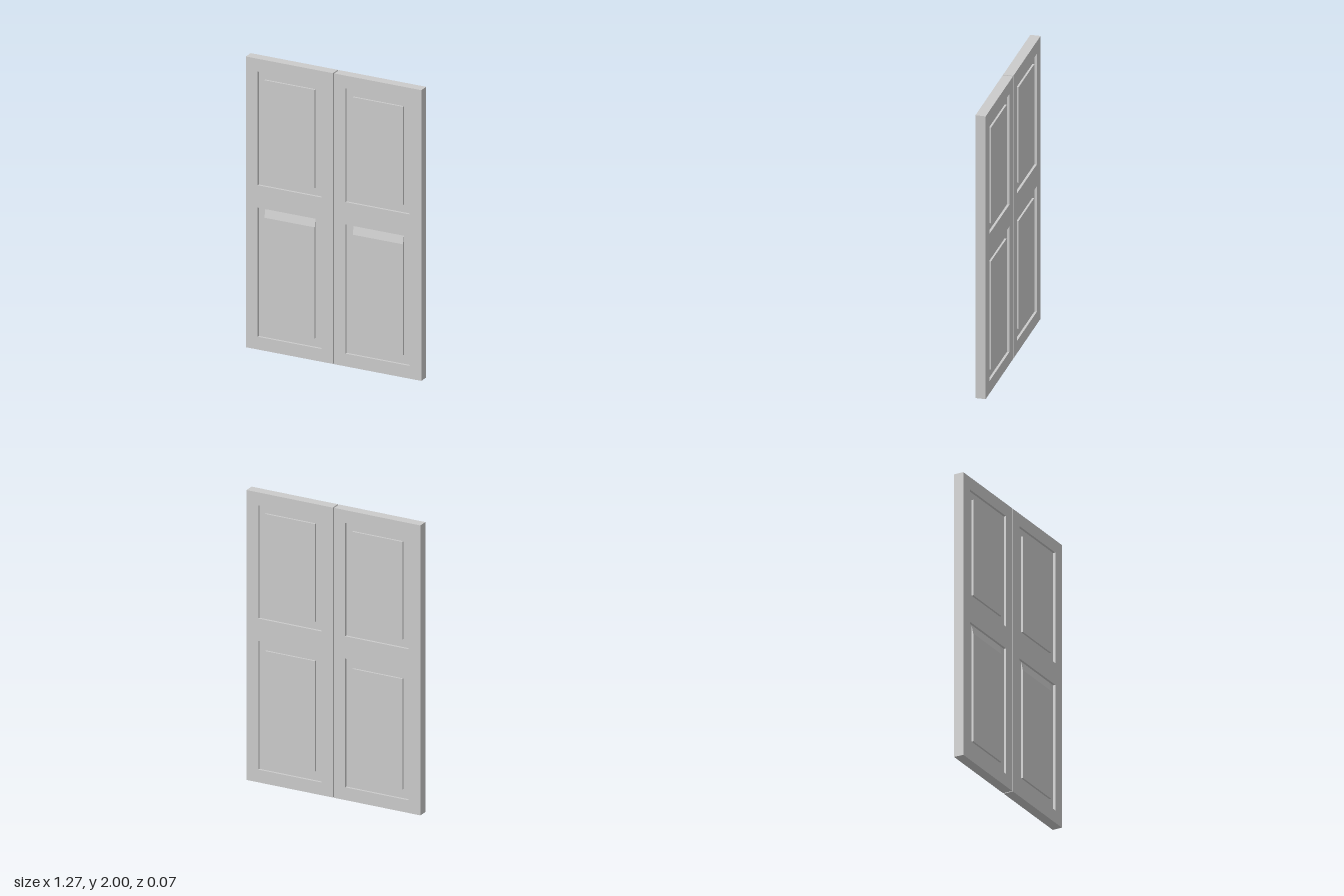
import * as THREE from 'three';

const T = 0.068;        // leaf thickness
const RECESS = 0.016;   // depth of the sunk panels
const FIELD = 0.013;    // height of the raised field above the sunk panel
const INNER = 0.004, OUTER = 0.637, HEIGHT = 2;

// Panel openings (x0, x1, y0, y1) and the raised field inside each
const PANELS = [
  { name: 'lower', hole: [0.086, 0.551, 0.088, 0.976], field: [0.138, 0.503, 0.151, 0.914] },
  { name: 'upper', hole: [0.086, 0.551, 1.13, 1.912], field: [0.138, 0.503, 1.184, 1.86] },
];

const material = new THREE.MeshStandardMaterial({ color: 0xcccccc, flatShading: true });

function rectangle(path, [x0, x1, y0, y1]) {
  path.moveTo(x0, y0);
  path.lineTo(x1, y0);
  path.lineTo(x1, y1);
  path.lineTo(x0, y1);
  path.closePath();
  return path;
}

function block(name, [x0, x1, y0, y1], z0, z1) {
  const geometry = new THREE.BoxGeometry(x1 - x0, y1 - y0, z1 - z0);
  geometry.translate((x0 + x1) / 2, (y0 + y1) / 2, (z0 + z1) / 2);
  const mesh = new THREE.Mesh(geometry, material);
  mesh.name = name;
  return mesh;
}

function createLeaf(name) {
  const leaf = new THREE.Group();
  leaf.name = name;

  // Stiles and rails, cut through where the panels sit
  const outline = rectangle(new THREE.Shape(), [INNER, OUTER, 0, HEIGHT]);
  for (const p of PANELS) outline.holes.push(rectangle(new THREE.Path(), p.hole));
  const geometry = new THREE.ExtrudeGeometry(outline, { depth: T, bevelEnabled: false });
  geometry.translate(0, 0, -T / 2);
  const frame = new THREE.Mesh(geometry, material);
  frame.name = 'frame';
  leaf.add(frame);

  // Sunk panels with a raised field on both faces
  const floor = T / 2 - RECESS;
  for (const p of PANELS) {
    leaf.add(block(p.name + 'Panel', p.hole, -floor, floor));
    const front = block(p.name + 'FrontField', p.field, floor, floor + FIELD);
    if (p.name === 'lower') {
      // The top of the lower front field slopes back to the rail
      const pos = front.geometry.attributes.position;
      for (let i = 0; i < pos.count; i++) {
        if (pos.getY(i) > 0.9 && pos.getZ(i) < floor + FIELD / 2) pos.setY(i, p.hole[3]);
      }
      front.geometry.computeVertexNormals();
    }
    leaf.add(front);
    leaf.add(block(p.name + 'BackField', p.field, -floor - FIELD, -floor));
  }
  return leaf;
}

export function createModel() {
  const model = new THREE.Group();
  model.name = 'doubleDoor';
  model.add(createLeaf('leftLeaf'));

  // Mirror image of the left leaf
  const right = createLeaf('rightLeaf');
  right.scale.x = -1;
  model.add(right);
  return model;
}
